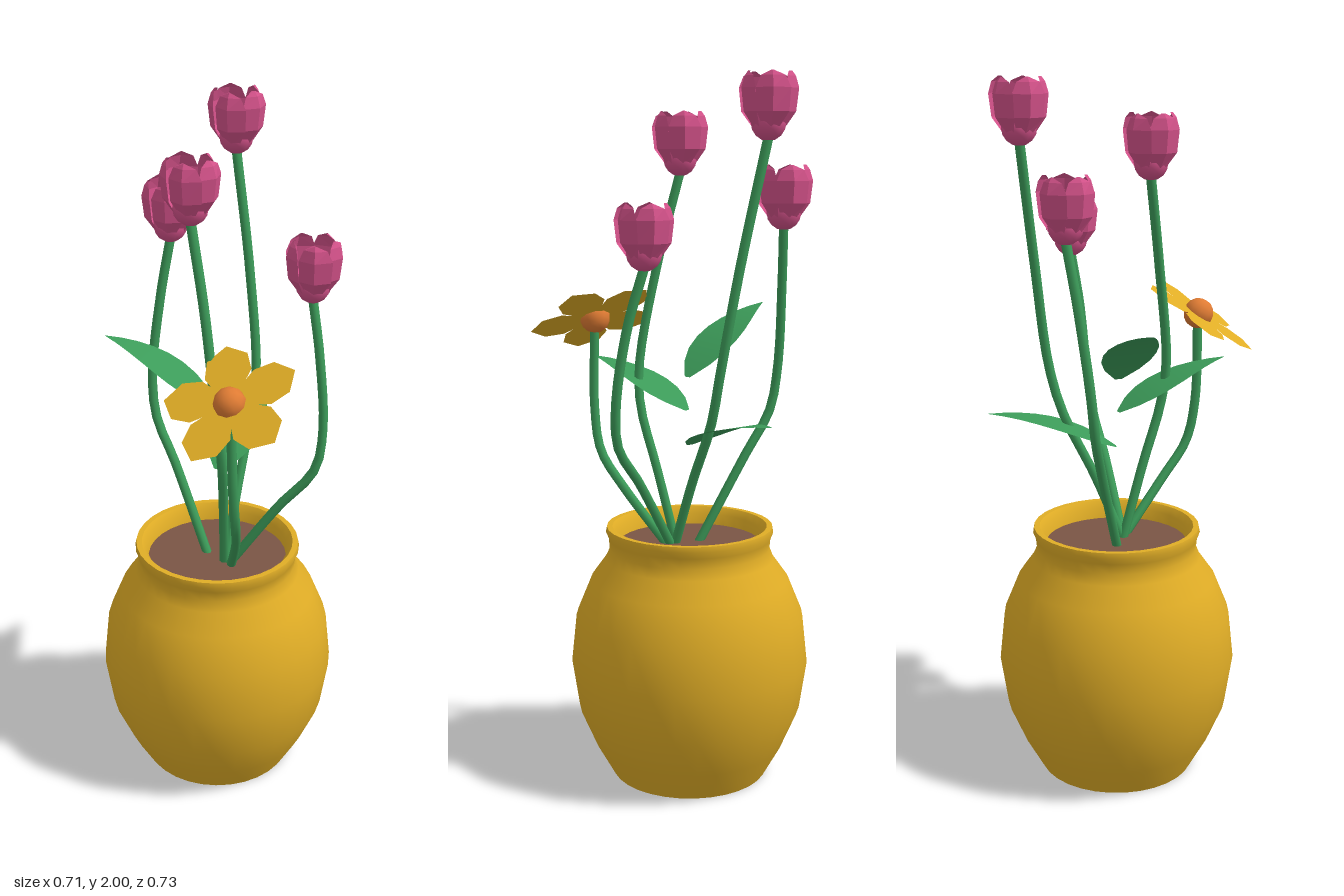
import * as THREE from 'three';
import { toCreasedNormals } from 'three/addons/utils/BufferGeometryUtils.js';

const material = (name, color, extra = {}) => {
  const m = new THREE.MeshStandardMaterial({ color, ...extra });
  m.name = name;
  return m;
};

const V = (a) => new THREE.Vector3(...a);

// Sheet made from rows of points, each row with the same count
function sheet(rows) {
  const n = rows[0].length, index = [];
  for (let i = 0; i < rows.length - 1; i++)
    for (let j = 0; j < n - 1; j++) {
      const a = i * n + j, b = a + 1, c = a + n, d = c + 1;
      index.push(a, b, d, a, d, c);
    }
  const g = new THREE.BufferGeometry().setFromPoints(rows.flat());
  g.setIndex(index);
  g.computeVertexNormals();
  return g;
}

export function createModel() {
  const model = new THREE.Group();
  model.name = 'pottedFlowers';
  const mats = {
    glaze: material('yellow', 0xe0ad26, { side: THREE.DoubleSide }),
    soil: material('soilBrown', 0x7a5545),
    green: material('green', 0x3c9b59, { side: THREE.DoubleSide }),
    pink: material('pink', 0xd4528a, { side: THREE.DoubleSide }),
    orange: material('orange', 0xe07c34),
  };
  const add = (name, geometry, mat, parent = model) => {
    const mesh = new THREE.Mesh(geometry, mat);
    mesh.name = name;
    parent.add(mesh);
    return mesh;
  };

  // Pot: turned body with a lip, and soil inside
  const pot = new THREE.Group();
  pot.name = 'pot';
  pot.position.set(-0.01, 0, -0.015);
  model.add(pot);
  const profile = [
    [0, 0], [0.225, 0], [0.275, 0.09], [0.322, 0.2], [0.343, 0.34], [0.328, 0.48],
    [0.285, 0.585], [0.242, 0.645], [0.23, 0.675], [0.233, 0.705], [0.241, 0.725],
    [0.238, 0.74], [0.222, 0.74], [0.207, 0.72], [0.2, 0.66],
  ].map(([x, y]) => new THREE.Vector2(x, y));
  add('potBody', toCreasedNormals(new THREE.LatheGeometry(profile, 32), 0.9), mats.glaze, pot);
  const soil = add('soil', new THREE.CircleGeometry(0.203, 32).rotateX(-Math.PI / 2), mats.soil, pot);
  soil.position.y = 0.69;

  // Stems: bent tubes from the soil up to each flower
  const stem = (name, points) => {
    const curve = new THREE.CatmullRomCurve3(points.map(V));
    add(name, new THREE.TubeGeometry(curve, 20, 0.0135, 8), mats.green);
  };

  // Tulip petal: a folded, cupped strip ending in a point
  const petalRows = [
    // height, radius, half angle
    [-0.06, 0.04, 0.5], [-0.015, 0.072, 0.68], [0.045, 0.079, 0.66], [0.075, 0.07, 0.5], [0.088, 0.06, 0.04],
  ].map(([y, r, half]) => [-1, 0, 1].map((s) => {
    const radius = r * (1 - 0.07 * s * s + 0.07 * s);
    return new THREE.Vector3(Math.sin(s * half) * radius, y, Math.cos(s * half) * radius);
  }));
  const petalGeometry = sheet(petalRows).toNonIndexed();
  petalGeometry.computeVertexNormals();
  const bulbGeometry = new THREE.SphereGeometry(0.048, 12, 8);

  const tulips = [
    { head: [-0.115, 1.91, -0.26], path: [[0.03, 0.68, 0], [0.015, 0.88, -0.08], [0, 1.06, -0.165], [-0.005, 1.2, -0.205], [-0.05, 1.5, -0.235]] },
    { head: [-0.027, 1.815, 0.08], path: [[0.025, 0.68, 0], [0.06, 0.9, 0.055], [0.088, 1.08, 0.105], [0.083, 1.2, 0.12], [0.03, 1.5, 0.1]] },
    { head: [-0.245, 1.67, -0.125], path: [[-0.04, 0.68, -0.01], [-0.18, 0.94, -0.04], [-0.25, 1.06, -0.05], [-0.27, 1.19, -0.06], [-0.26, 1.43, -0.095]] },
    { head: [0.2, 1.575, -0.165], path: [[0.04, 0.68, 0], [0.17, 0.89, -0.065], [0.255, 1.01, -0.11], [0.268, 1.13, -0.128], [0.24, 1.34, -0.145]] },
  ];
  tulips.forEach(({ head, path }, k) => {
    stem('tulipStem', [...path, [head[0], head[1] - 0.08, head[2]]]);
    const flower = new THREE.Group();
    flower.name = 'tulipHead';
    flower.position.set(...head);
    flower.rotation.y = 0.25 + k * 0.1;
    model.add(flower);
    add('bulb', bulbGeometry, mats.pink, flower).position.y = -0.042;
    for (let i = 0; i < 5; i++)
      add('tulipPetal', petalGeometry, mats.pink, flower).rotation.y = (i * Math.PI * 2) / 5;
  });

  // Open flower: five flat petals around a round centre, leaning forward
  stem('openFlowerStem', [[0.05, 0.68, 0], [0.14, 0.84, 0.11], [0.182, 0.94, 0.175], [0.19, 1.06, 0.2], [0.185, 1.31, 0.205]]);
  const bloom = new THREE.Group();
  bloom.name = 'openFlower';
  bloom.position.set(0.183, 1.325, 0.207);
  bloom.rotation.x = 0.58;
  model.add(bloom);
  const outline = [[0.022, 0.02], [0.064, 0.095], [0.056, 0.15], [0, 0.188]];
  const shape = new THREE.Shape([
    ...outline, ...outline.slice(0, 3).reverse().map(([x, y]) => [-x, y]),
  ].map(([x, y]) => new THREE.Vector2(x, y)));
  const flat = new THREE.ShapeGeometry(shape).rotateX(-Math.PI / 2).rotateY(Math.PI);
  for (let i = 0; i < 5; i++)
    add('openPetal', flat, mats.glaze, bloom).rotation.y = -0.06 + (i * Math.PI * 2) / 5;
  add('flowerCentre', new THREE.SphereGeometry(0.044, 10, 8), mats.orange, bloom);

  // Leaves: arched, pointed blades
  const widths = [0.01, 0.05, 0.07, 0.075, 0.07, 0.057, 0.04, 0.021, 0.001];
  const leaf = (name, base, tip, lift) => {
    const a = V(base), b = V(tip);
    const mid = a.clone().lerp(b, 0.5).add(new THREE.Vector3(0, lift, 0));
    const curve = new THREE.QuadraticBezierCurve3(a, mid, b);
    const side = new THREE.Vector3(b.z - a.z, 0, a.x - b.x).normalize();
    const rows = widths.map((w, i) => {
      const p = curve.getPoint(i / (widths.length - 1));
      return [-1, 0, 1].map((s) => p.clone().addScaledVector(side, s * w));
    });
    add(name, sheet(rows), mats.green);
  };
  leaf('leftLeaf', [-0.005, 1.17, -0.01], [-0.31, 1.357, 0.1], 0.06);
  leaf('frontLeaf', [-0.005, 1.075, -0.01], [0.155, 1.205, 0.285], 0.045);
  leaf('backLeaf', [-0.01, 0.975, -0.015], [-0.075, 1.08, -0.37], 0.045);

  return model;
}
